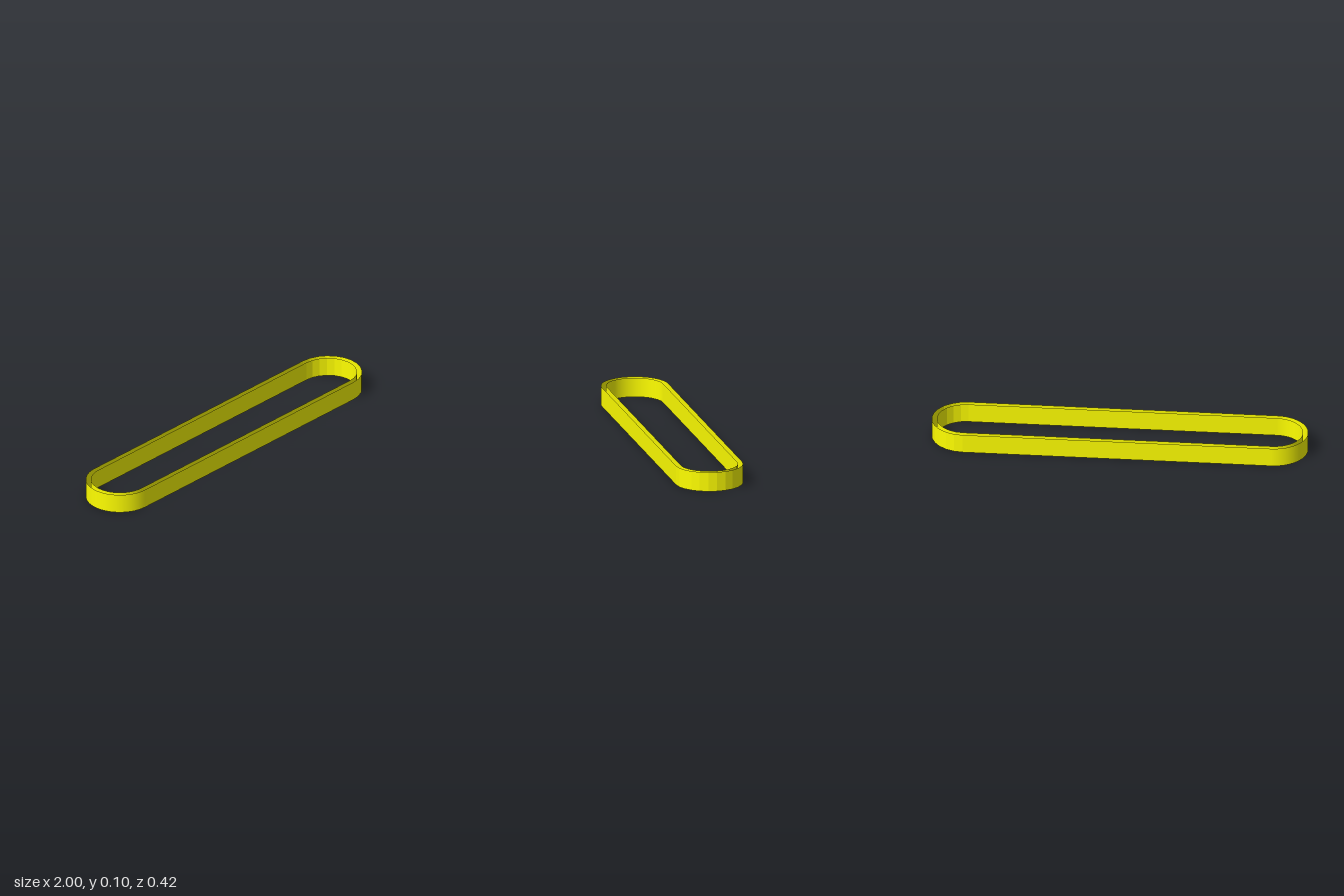
import * as THREE from 'three';

const HEIGHT = 0.104;
const HALF_SPAN = 0.82; // distance from middle to each round end's centre
const TILT = 0.034; // slight turn of the whole band about y

export function createModel() {
  const smooth = new THREE.MeshStandardMaterial({ color: 0xffff00, side: THREE.DoubleSide });
  const faceted = smooth.clone();
  faceted.flatShading = true;

  const band = new THREE.Group();
  band.name = 'band';
  band.rotation.y = TILT;
  band.position.y = HEIGHT / 2;

  // One open loop of wall: two round ends joined by two straight sides
  const addLoop = (name, radius) => {
    const loop = new THREE.Group();
    loop.name = name;
    const add = (part, geometry, material, x, z) => {
      const mesh = new THREE.Mesh(geometry, material);
      mesh.name = part;
      mesh.position.set(x, 0, z);
      loop.add(mesh);
      return mesh;
    };
    const halfRound = (segments, start) =>
      new THREE.CylinderGeometry(radius, radius, HEIGHT, segments, 1, true, start, Math.PI);

    add('facetedEnd', halfRound(12, 0), faceted, HALF_SPAN, 0);
    add('smoothEnd', halfRound(24, Math.PI), smooth, -HALF_SPAN, 0);

    const side = new THREE.PlaneGeometry(2 * HALF_SPAN, HEIGHT);
    add('frontSide', side, smooth, 0, radius);
    add('backSide', side, smooth, 0, -radius).rotation.y = Math.PI;
    band.add(loop);
  };

  // Outer and inner skins, open along the rims
  addLoop('outerWall', 0.18);
  addLoop('innerWall', 0.153);

  const model = new THREE.Group();
  model.name = 'loopBand';
  model.add(band);
  return model;
}
